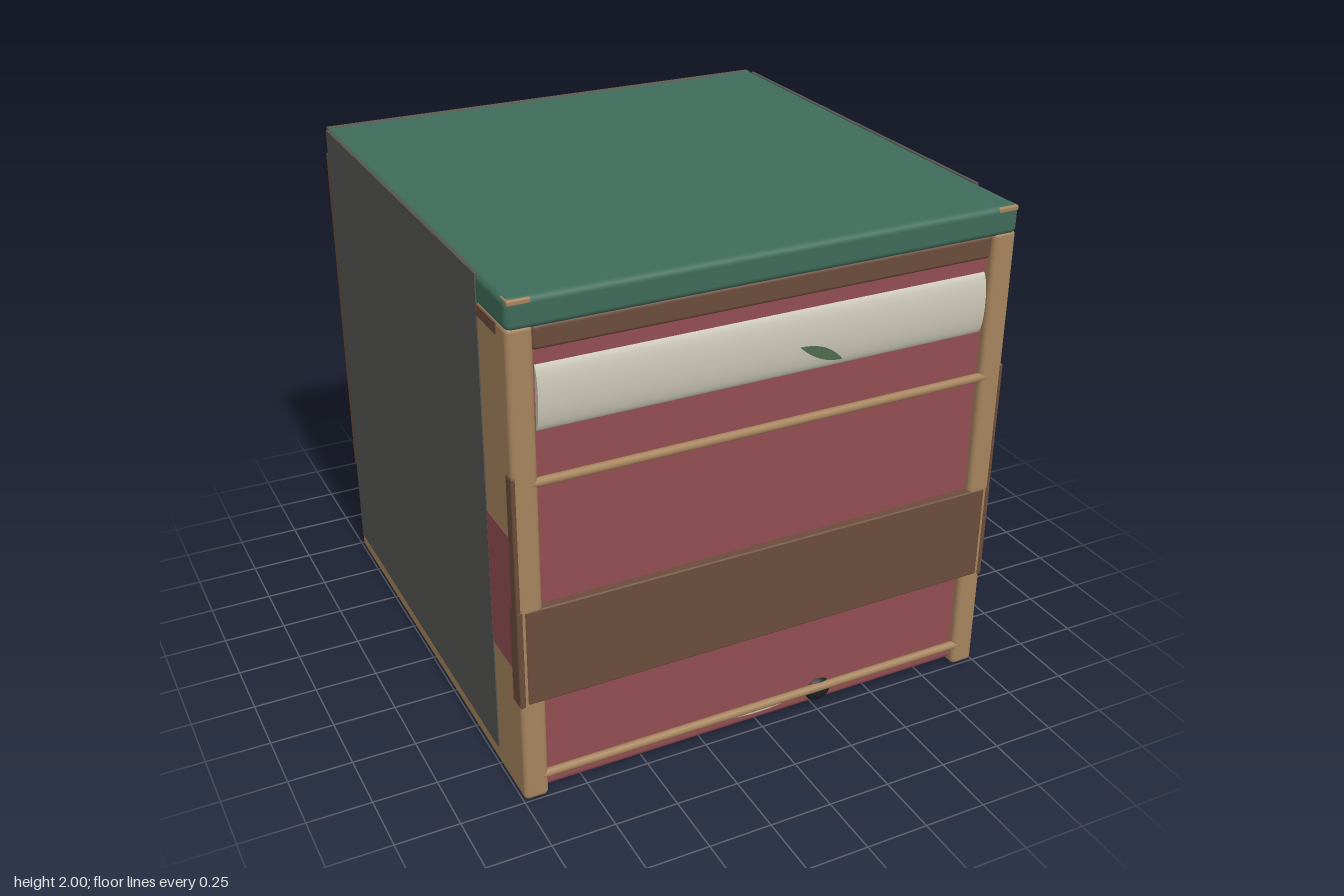
import * as THREE from 'three';
import { RoundedBoxGeometry } from 'three/addons/geometries/RoundedBoxGeometry.js';

const material = (color) => new THREE.MeshStandardMaterial({ color });
const wood = material(0xa5835c);
const brown = material(0x6b4c3a);
const red = material(0x914d51);
const green = material(0x3f6b5a);
const grey = material(0x555552);
const black = material(0x1c2020);
const cream = material(0xc9c5b5);
const leafGreen = material(0x4f6a4c);

export function createModel() {
  const model = new THREE.Group();

  const add = (name, geometry, mat, x = 0, y = 0, z = 0, parent = model) => {
    const mesh = new THREE.Mesh(geometry, mat);
    mesh.name = name;
    mesh.position.set(x, y, z);
    parent.add(mesh);
    return mesh;
  };
  // Box given by its lower and upper corners, optionally with rounded edges
  const block = (name, mat, a, b, radius = 0, parent = model) => {
    const size = b.map((v, i) => v - a[i]);
    const geometry = radius
      ? new RoundedBoxGeometry(...size, 3, radius)
      : new THREE.BoxGeometry(...size);
    return add(name, geometry, mat, ...b.map((v, i) => (v + a[i]) / 2), parent);
  };

  // Body and lid
  block('body', red, [-0.93, 0.01, -0.965], [0.93, 1.88, 0.965], 0.03);
  block('lid', green, [-0.996, 1.885, -0.99], [0.996, 2, 1], 0.025);
  block('underside', black, [-0.92, 0.004, -0.93], [0.92, 0.04, 0.86]);

  // Side walls with their cladding, bands and corner pieces
  for (const s of [-1, 1]) {
    const side = new THREE.Group();
    side.name = s > 0 ? 'leftSide' : 'rightSide';
    model.add(side);
    const sideBlock = (name, mat, x0, x1, y0, y1, z0, z1, r) =>
      block(name, mat, [Math.min(s * x0, s * x1), y0, z0], [Math.max(s * x0, s * x1), y1, z1], r, side);
    sideBlock('sideWall', wood, 0.9, 0.996, 0, 1.9, -0.985, 0.997, 0.02);
    sideBlock('sideCladding', grey, 0.985, 1, 0.07, 1.999, -0.955, 0.745);
    sideBlock('sidePatch', red, 0.985, 0.999, 0.56, 1.11, 0.745, 0.96);
    sideBlock('edgeStrap', brown, 0.975, 1, 0.42, 0.83, 0.925, 0.998, 0.008);
    sideBlock('upperEdgeStrap', brown, 0.982, 1, 0.8, 1.36, 0.945, 0.997, 0.008);
    sideBlock('lidShadowStrip', brown, 0.985, 0.999, 1.85, 1.89, 0.745, 0.915);
    sideBlock('lidCornerPlate', wood, 0.905, 0.99, 1.975, 1.996, 0.94, 1, 0.006);
    sideBlock('rearEdgeStrip', brown, 0.98, 0.999, 0.43, 1.89, -0.99, -0.957);
  }

  // Back panel and the seam along the top rear edge
  block('backPanel', grey, [-0.99, 0.04, -1], [0.99, 1.985, -0.97]);
  block('rearSeam', material(0x5f5b52), [-0.985, 1.95, -0.999], [0.985, 2, -0.965]);

  // Front: trim below the lid, wide belt and bulging cream band
  block('lidTrim', brown, [-0.9, 1.8, 0.94], [0.9, 1.89, 0.985], 0.015);
  block('belt', brown, [-0.97, 0.43, 0.95], [0.97, 0.825, 1], 0.008);
  const band = new THREE.CylinderGeometry(1, 1, 1.78, 24, 1, false, 0, Math.PI);
  band.rotateZ(Math.PI / 2);
  band.rotateX(0);
  const bandPoints = new THREE.SphereGeometry(1, 4, 4);
  bandPoints.dispose();
  const bandMesh = add('creamBand', new THREE.CylinderGeometry(1, 1, 1.78, 32).rotateZ(Math.PI / 2),
    cream, 0, 1.622, 0.96);
  bandMesh.scale.set(1, 0.123, 0.03);
  band.dispose();

  // Thin horizontal rails
  for (const y of [1.318, 0.092]) {
    add('frontRail', new THREE.CapsuleGeometry(0.017, 1.85, 4, 10).rotateZ(Math.PI / 2),
      wood, 0, y, 0.981);
  }

  // Leaf ornament lying on the cream band
  const outline = new THREE.Shape();
  outline.moveTo(-0.095, 0.01);
  outline.quadraticCurveTo(0.01, 0.05, 0.095, 0);
  outline.quadraticCurveTo(0.01, -0.035, -0.095, 0.01);
  const leaf = add('leaf', new THREE.ExtrudeGeometry(outline, { depth: 0.012, bevelEnabled: false }),
    leafGreen, 0.185, 1.567, 0.984);
  leaf.rotation.z = -0.36;

  // Small fittings at the bottom edge, front and back
  for (const s of [-1, 1]) {
    const spot = add('creamSpot', new THREE.SphereGeometry(1, 20, 10), cream, 0, 0.058, s * 0.955);
    spot.scale.set(0.14, 0.012, 0.018);
  }
  const knob = add('knob', new THREE.SphereGeometry(1, 20, 14), black, 0.27, 0.07, 0.955);
  knob.scale.set(0.06, 0.053, 0.035);

  // Curved mark beneath the base
  const arc = add('baseMark', new THREE.TorusGeometry(0.3, 0.012, 6, 24, 1.4).rotateX(Math.PI / 2),
    brown, 0.1, 0.004, -0.25);
  arc.scale.y = 0.3;

  return model;
}
